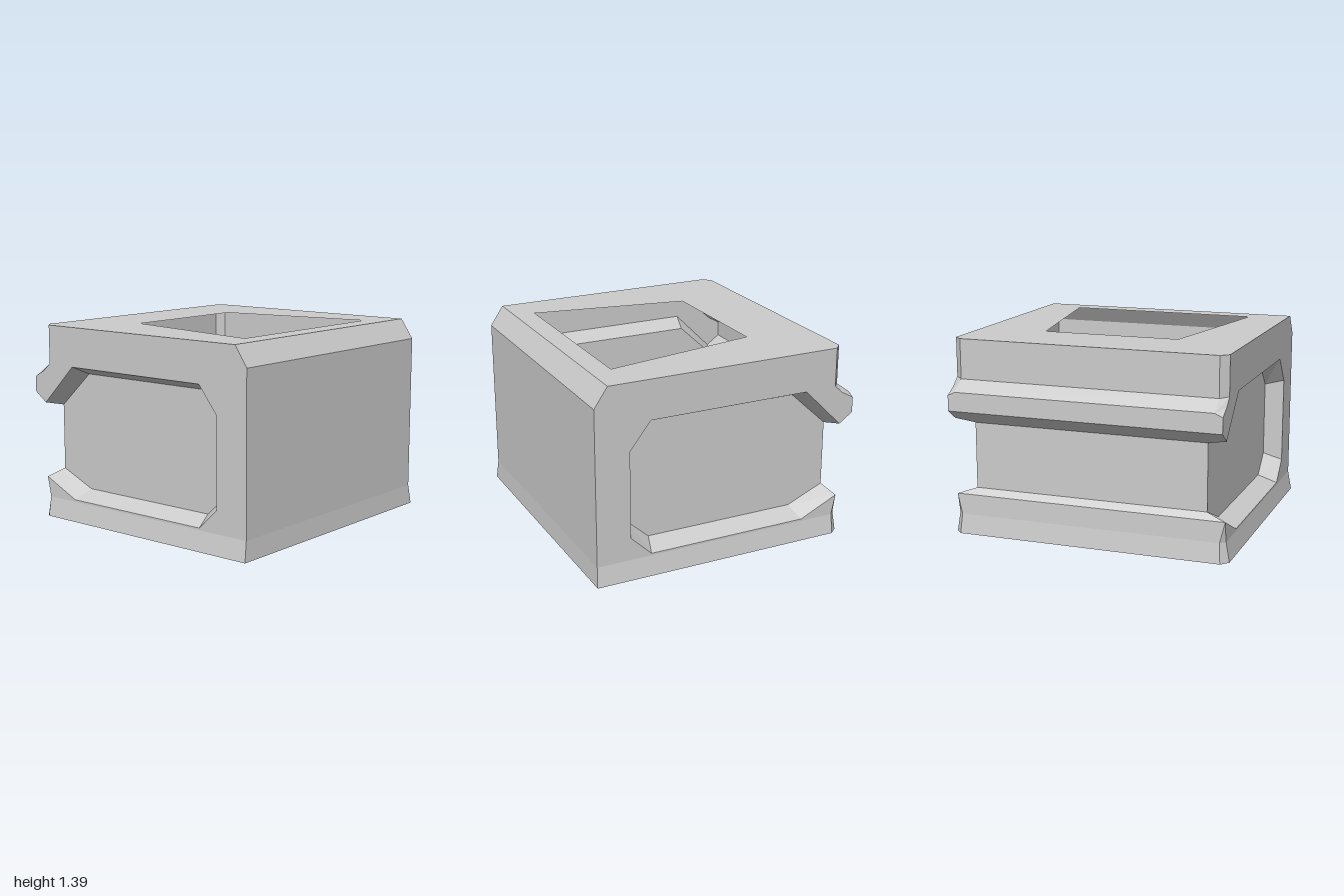
import * as THREE from 'three';

const material = new THREE.MeshStandardMaterial({ color: 0xcccccc, flatShading: true, side: THREE.DoubleSide });
const vec = (p) => new THREE.Vector3(...p);

// Triangulates flat polygons (corners anticlockwise from outside, optional hole) into one mesh
function polygonMesh(name, faces) {
  const positions = [];
  for (const { points, hole = [] } of faces) {
    const normal = new THREE.Vector3();
    points.forEach((p, i) => normal.add(vec(p).cross(vec(points[(i + 1) % points.length]))));
    const size = normal.toArray().map(Math.abs);
    const drop = size.indexOf(Math.max(...size));
    const flat = (p) => new THREE.Vector2(...p.filter((_, axis) => axis !== drop));
    const all = [...points, ...hole];
    const holes = hole.length ? [hole.map(flat)] : [];
    for (const [i, j, k] of THREE.ShapeUtils.triangulateShape(points.map(flat), holes)) {
      const [a, b, c] = [all[i], all[j], all[k]];
      const turn = vec(b).sub(vec(a)).cross(vec(c).sub(vec(a))).dot(normal);
      positions.push(...a, ...(turn > 0 ? b : c), ...(turn > 0 ? c : b));
    }
  }
  const geometry = new THREE.BufferGeometry();
  geometry.setAttribute('position', new THREE.Float32BufferAttribute(positions, 3));
  geometry.computeVertexNormals();
  const mesh = new THREE.Mesh(geometry, material);
  mesh.name = name;
  return mesh;
}

const flip = ([x, y, z]) => [x, y, -z];
const mirrored = (faces) => faces.concat(faces.map(({ points }) => ({ points: points.map(flip).reverse() })));

export function createModel() {
  const group = new THREE.Group();
  group.name = 'housing';
  const faceZ = 0.975, panelZ = 0.84, top = 1.39, flareY = 0.14;

  // Walls along z: each row is x, y and half width; down the lipped side, under, and up the plain side
  const section = [
    [-0.88, top, 0.92], [-0.88, 1.11, 0.92], [-0.98, 1.035, 0.92], [-0.98, 1.01, faceZ],
    [-0.98, 0.9, faceZ], [-0.88, 0.83, faceZ], [-0.84, 0.8, panelZ], [-0.84, 0.33, panelZ],
    [-0.88, 0.285, faceZ], [-0.885, flareY, 0.94], [-0.905, 0, 0.95], [-0.85, 0, 1],
    [0.975, 0, 1], [0.965, flareY, faceZ], [0.965, 1.25, faceZ], [0.87, top, faceZ],
  ];
  const walls = section.slice(1).map((b, i) => {
    const a = section[i];
    return { points: [flip(a), flip(b), b, a] };
  });
  group.add(polygonMesh('sideWallsAndFloor', walls));

  // Recess outline on the face and on the sunken panel, open towards the lipped side
  const outer = [[-0.88, 0.83], [-0.6, 1.11], [0.57, 1.11], [0.72, 0.92], [0.72, 0.3],
    [0.57, 0.155], [-0.6, 0.155], [-0.88, 0.285]].map((p) => [...p, faceZ]);
  const inner = [[-0.84, 0.8], [-0.57, 1.05], [0.53, 1.05], [0.68, 0.89], [0.68, 0.35],
    [0.53, 0.215], [-0.57, 0.215], [-0.84, 0.33]].map((p) => [...p, panelZ]);

  // Front and back faces, framing the recess
  const rim = [[0.965, flareY], [0.965, 1.25], [0.87, top], [-0.83, top], [-0.83, 1.115],
    [-0.89, 1.06], [-0.98, 1.01], [-0.98, 0.9]].map((p) => [...p, faceZ]);
  const footCorner = [-0.85, flareY, faceZ];
  const endFaces = [
    { points: [...rim, ...outer, footCorner] },
    { points: [[-0.85, 0, 1], [0.975, 0, 1], [0.965, flareY, faceZ], footCorner] },
  ];
  group.add(polygonMesh('endFaces', mirrored(endFaces)));

  // Corner bevels: upper edge, lip end, and foot
  const bevels = [
    { points: [[-0.88, top, 0.92], [-0.88, 1.11, 0.92], [-0.83, 1.115, faceZ], [-0.83, top, faceZ]] },
    { points: [[-0.88, 1.11, 0.92], [-0.98, 1.035, 0.92], [-0.98, 1.01, faceZ],
      [-0.89, 1.06, faceZ], [-0.83, 1.115, faceZ]] },
    { points: [[-0.88, 0.285, faceZ], [-0.885, flareY, 0.94], footCorner] },
    { points: [[-0.885, flareY, 0.94], [-0.905, 0, 0.95], [-0.85, 0, 1], footCorner] },
  ];
  group.add(polygonMesh('cornerBevels', mirrored(bevels)));

  // Sunken panels with their sloping borders
  const borders = inner.slice(1).map((p, i) => ({ points: [inner[i], p, outer[i + 1], outer[i]] }));
  group.add(polygonMesh('recessBorders', mirrored(borders)));
  group.add(polygonMesh('recessPanels', mirrored([{ points: [...inner].reverse() }])));

  // Top plate with the tapered opening into the hollow inside
  const halfTop = [[-0.88, top, 0.92], [-0.83, top, faceZ], [0.87, top, faceZ]];
  const halfHole = [[-0.4, top, 0.49], [0.72, top, 0.69]];
  const closed = (half) => [...half, ...half.map(flip).reverse()];
  group.add(polygonMesh('topPlate', [{ points: closed(halfTop), hole: closed(halfHole) }]));

  return group;
}
